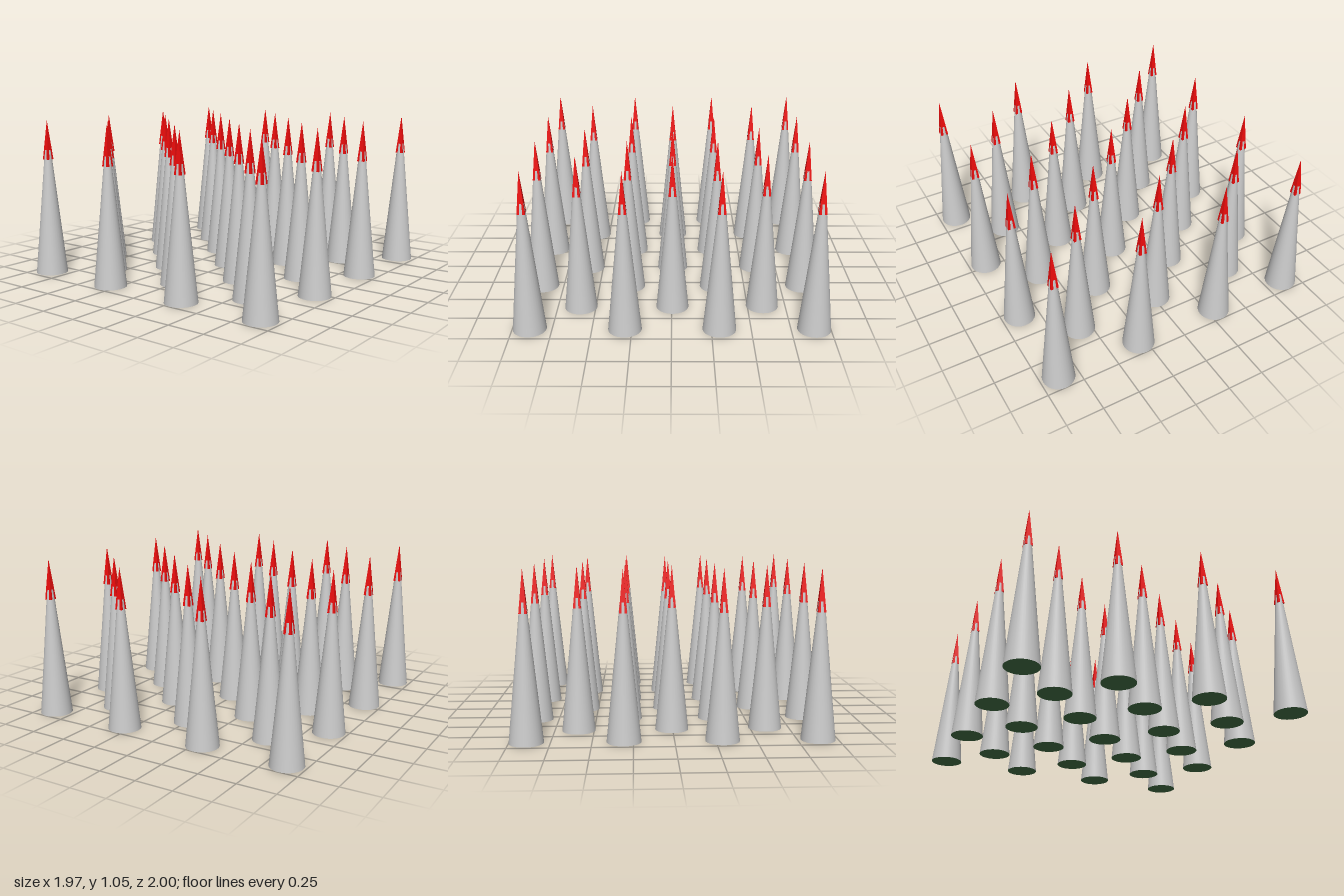
import * as THREE from 'three';

const BASE_R = 0.106, TIP_Y = 1.05;

export function createModel() {
  const model = new THREE.Group();
  model.name = 'spikeField';

  const grey = new THREE.MeshStandardMaterial({ color: 0xcccccc });
  const red = new THREE.MeshStandardMaterial({ color: 0xf00c0c, flatShading: true });
  const green = new THREE.MeshStandardMaterial({ color: 0x4a7a4d });

  // Tapered shaft, open below where the green disc closes it
  const shaftGeo = new THREE.CylinderGeometry(0.02, BASE_R, 0.85, 32, 1, true).translate(0, 0.425, 0);

  // Four-sided point with its faces square to the axes
  const tipLow = 0.785;
  const tipGeo = new THREE.ConeGeometry(0.035, TIP_Y - tipLow, 4)
    .rotateY(Math.PI / 4)
    .translate(0, (TIP_Y + tipLow) / 2, 0);

  const discGeo = new THREE.CircleGeometry(BASE_R, 32).rotateX(Math.PI / 2);

  function addSpike(x, z) {
    const spike = new THREE.Group();
    spike.name = 'spike';
    const parts = [
      ['shaft', shaftGeo, grey],
      ['bloodRedTip', tipGeo, red],
      ['baseDisc', discGeo, green],
    ];
    for (const [name, geo, mat] of parts) {
      const mesh = new THREE.Mesh(geo, mat);
      mesh.name = name;
      spike.add(mesh);
    }
    spike.position.set(x, 0, z);
    model.add(spike);
  }

  // Staggered rows of four and three, with the slight drift of hand placement
  const fours = [-0.88, -0.303, 0.293, 0.877];
  const threes = [-0.595, -0.004, 0.584];
  const rows = [
    { z: -0.895, xs: fours },
    { z: -0.597, xs: threes, shift: -0.009 },
    { z: -0.3, xs: fours, firstZ: -0.307 },
    { z: -0.005, xs: threes },
    { z: 0.292, xs: fours },
    { z: 0.596, xs: threes, shift: 0.01 },
    { z: 0.89, xs: fours, firstZ: 0.877 },
  ];
  for (const { z, xs, shift = 0, firstZ = z } of rows) {
    xs.forEach((x, i) => addSpike(x + shift, i === 0 ? firstZ : z));
  }
  return model;
}
